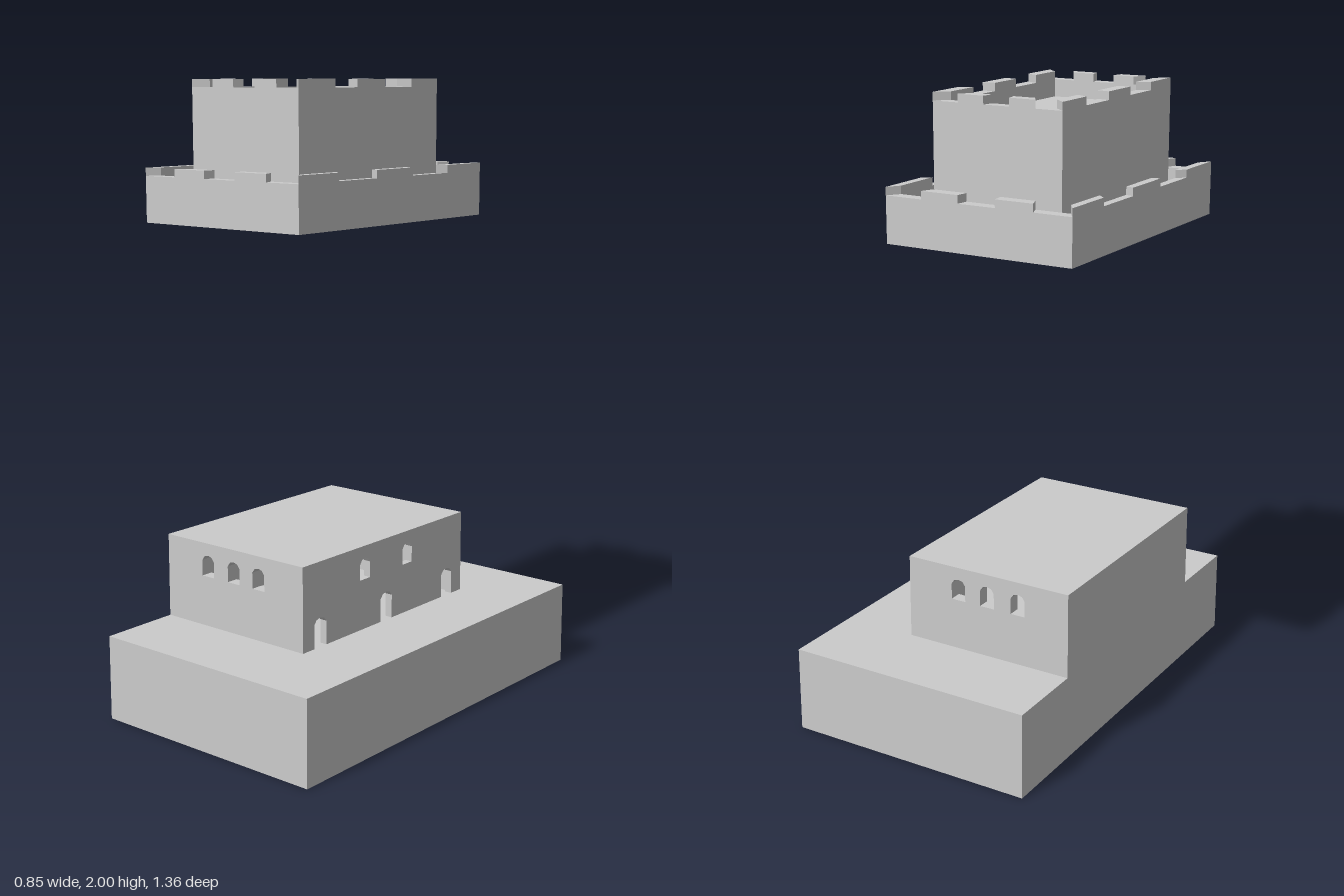
import * as THREE from 'three';

const material = new THREE.MeshStandardMaterial({ color: 0xcccccc, flatShading: true });

// Plan rectangles: x from x0 to x1, z from -z to z
const parapetOuter = { x0: -0.425, x1: 0.203, z: 0.452 };
const parapetInner = { x0: -0.398, x1: 0.176, z: 0.412 };
const towerOuter = { x0: -0.328, x1: 0.107, z: 0.34 };
const towerSkin = { x0: -0.325, x1: 0.104, z: 0.337 };
const towerInner = { x0: -0.288, x1: 0.067, z: 0.303 };

const corners = (r) => [[r.x0, -r.z], [r.x1, -r.z], [r.x1, r.z], [r.x0, r.z]];
const toVectors = (points) => points.map(([x, y]) => new THREE.Vector2(x, y));

export function createModel() {
  const model = new THREE.Group();

  const add = (parent, name, geometry) => {
    const mesh = new THREE.Mesh(geometry, material);
    mesh.name = name;
    parent.add(mesh);
    return mesh;
  };

  const group = (name) => {
    const g = new THREE.Group();
    g.name = name;
    model.add(g);
    return g;
  };

  const box = (parent, name, x0, x1, y0, y1, z) =>
    add(parent, name, new THREE.BoxGeometry(x1 - x0, y1 - y0, 2 * z)
      .translate((x0 + x1) / 2, (y0 + y1) / 2, 0));

  // Upright prism from a plan outline, with an optional opening
  const prism = (parent, name, outline, y0, y1, opening) => {
    const shape = new THREE.Shape(toVectors(outline));
    if (opening) shape.holes.push(new THREE.Path(toVectors(opening)));
    const geometry = new THREE.ExtrudeGeometry(shape, { depth: y1 - y0, bevelEnabled: false });
    return add(parent, name, geometry.rotateX(-Math.PI / 2).translate(0, y0, 0));
  };

  const ring = (parent, name, outer, inner, y0, y1) =>
    prism(parent, name, corners(outer), y0, y1, corners(inner));

  // Each side has five equal bays; merlons are mitred between outer and inner edge
  const merlons = (parent, outer, inner, y0, y1) => {
    const a = corners(outer), b = corners(inner);
    const mix = (p, q, t) => [p[0] + (q[0] - p[0]) * t, p[1] + (q[1] - p[1]) * t];
    for (let side = 0; side < 4; side++) {
      const next = (side + 1) % 4;
      for (const bay of side % 2 ? [0, 2, 4] : [1, 3]) {
        const s = bay / 5, e = (bay + 1) / 5;
        prism(parent, 'merlon', [
          mix(a[side], a[next], s), mix(a[side], a[next], e),
          mix(b[side], b[next], e), mix(b[side], b[next], s),
        ], y0, y1);
      }
    }
  };

  // Wall panel with arched openings given as [centre, sill, top, width]
  const wall = (parent, name, u0, u1, y0, y1, thickness, openings) => {
    const shape = new THREE.Shape(toVectors([[u0, y0], [u1, y0], [u1, y1], [u0, y1]]));
    for (const [u, sill, top, width] of openings) {
      const h = width / 2;
      shape.holes.push(new THREE.Path(toVectors([
        [u - h, sill], [u + h, sill], [u + h, top - 0.018],
        [u + h * 0.6, top - 0.004], [u, top], [u - h * 0.6, top - 0.004], [u - h, top - 0.018],
      ])));
    }
    return add(parent, name,
      new THREE.ExtrudeGeometry(shape, { depth: thickness, bevelEnabled: false }));
  };

  // Base block
  box(model, 'base', -0.4, 0.422, 0, 0.275, 0.68);

  // Hollow lower storey
  const storey = group('lowerStorey');
  const tx = 0.025, tz = 0.04;
  const endWindows = [-0.223, -0.112, -0.007].map((x) => [x, 0.44, 0.51, 0.05]);
  wall(storey, 'frontWall', -0.4, 0.176, 0.275, 0.525, tz, endWindows).position.z = 0.412 - tz;
  wall(storey, 'backWall', -0.4, 0.176, 0.275, 0.525, tz, endWindows).position.z = -0.412;
  const sideOpenings = [
    ...[-0.11, 0.11].map((u) => [u, 0.44, 0.51, 0.05]),
    ...[-0.33, 0, 0.33].map((u) => [u, 0.27, 0.37, 0.058]),
  ];
  const doorWall = wall(storey, 'doorWall', -0.372, 0.372, 0.26, 0.525, tx, sideOpenings);
  doorWall.rotation.y = Math.PI / 2;
  doorWall.position.x = 0.176 - tx;
  box(storey, 'blankWall', -0.4, -0.4 + tx, 0.275, 0.525, 0.372);
  box(storey, 'ceiling', -0.4, 0.176, 0.525, 0.55, 0.412);

  // Raised terrace with its battlements, open underneath
  const terrace = group('terrace');
  ring(terrace, 'parapet', parapetOuter, parapetInner, 1.56, 1.705);
  merlons(terrace, parapetOuter, parapetInner, 1.705, 1.73);
  ring(terrace, 'terraceFloor', parapetInner, towerOuter, 1.635, 1.645);

  // Thin-walled tower with roof and battlements
  const tower = group('tower');
  ring(tower, 'towerWall', towerOuter, towerSkin, 1.56, 1.92);
  box(tower, 'towerRoof', towerSkin.x0, towerSkin.x1, 1.912, 1.92, towerSkin.z);
  ring(tower, 'towerParapet', towerOuter, towerInner, 1.92, 1.975);
  merlons(tower, towerOuter, towerInner, 1.975, 2);

  return model;
}
